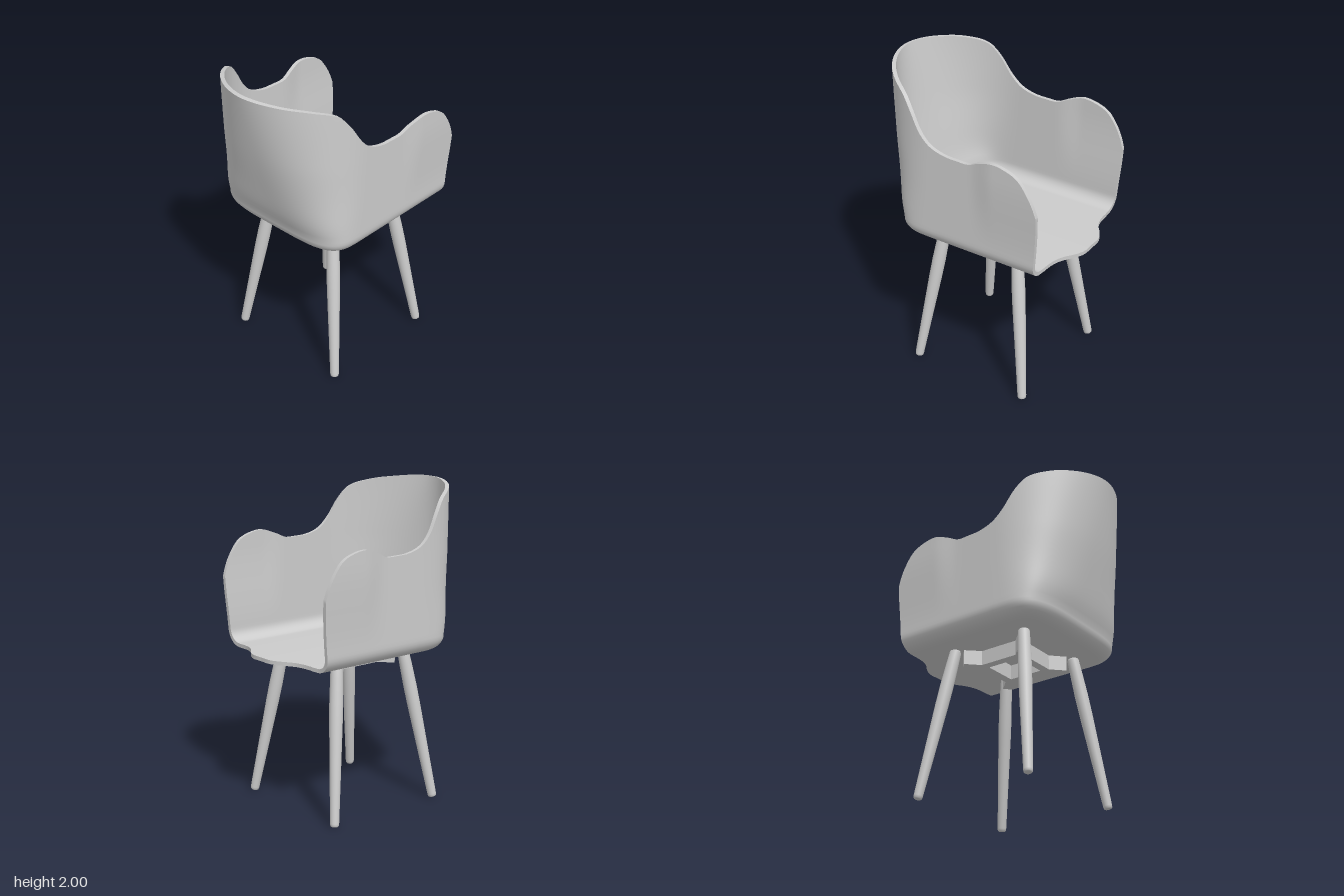
import * as THREE from 'three';

const material = new THREE.MeshStandardMaterial({ color: 0xcccccc, side: THREE.DoubleSide });
const lerp = THREE.MathUtils.lerp, smooth = THREE.MathUtils.smoothstep;

// Smooth interpolation through [x, y] pairs
function curve(pts) {
  const slope = i => {
    const a = pts[Math.max(i - 1, 0)], b = pts[Math.min(i + 1, pts.length - 1)];
    return (b[1] - a[1]) / (b[0] - a[0]);
  };
  return x => {
    if (x <= pts[0][0]) return pts[0][1];
    if (x >= pts[pts.length - 1][0]) return pts[pts.length - 1][1];
    const i = pts.findIndex(p => p[0] > x) - 1, w = pts[i + 1][0] - pts[i][0];
    const t = (x - pts[i][0]) / w, t2 = t * t, t3 = t2 * t;
    return (2 * t3 - 3 * t2 + 1) * pts[i][1] + (t3 - 2 * t2 + t) * w * slope(i)
      + (3 * t2 - 2 * t3) * pts[i + 1][1] + (t3 - t2) * w * slope(i + 1);
  };
}

// Surface through equal-length rows of points
function gridGeometry(rows) {
  const n = rows[0].length, index = [];
  for (let r = 0; r < rows.length - 1; r++) {
    for (let i = 0; i < n - 1; i++) {
      const a = r * n + i, b = a + n;
      index.push(a, b, a + 1, a + 1, b, b + 1);
    }
  }
  const geo = new THREE.BufferGeometry().setFromPoints(rows.flat());
  geo.setIndex(index);
  geo.computeVertexNormals();
  return geo;
}

function add(group, geo, name) {
  const mesh = new THREE.Mesh(geo, material);
  mesh.name = name;
  group.add(mesh);
  return mesh;
}

// Shell measurements: the seat opens toward -z
const BOTTOM = 0.98, FILLET = 0.1, HALF = 0.5, CORNER = 0.15, THICK = 0.024;
const rimHeight = curve([[-0.595, 1.42], [-0.575, 1.48], [-0.54, 1.55], [-0.48, 1.63], [-0.4, 1.67], [-0.3, 1.685],
  [-0.2, 1.655], [-0.13, 1.622], [-0.05, 1.62], [0.05, 1.626], [0.15, 1.66], [0.23, 1.73], [0.3, 1.84],
  [0.37, 1.92], [0.5, 1.965], [0.6, 1.985], [0.67, 2]]);
const backZ = curve([[1.08, 0.465], [1.17, 0.5], [1.3, 0.535], [1.6, 0.605], [2, 0.68]]);
const squareness = curve([[0.98, 4.5], [1.3, 2.9], [1.6, 2.3], [2, 1.85]]);
const wallFront = curve([[0.98, -0.565], [1.3, -0.59], [1.42, -0.595]]);
const lipFront = curve([[0, -0.68], [0.08, -0.68], [0.14, -0.655], [0.22, -0.6], [0.3, -0.575], [0.4, -0.568]]);

// Plan outline at height y: straight sides joined by a superelliptic back
function outline(u, y, inset) {
  const w = HALF - inset;
  if (u.side) {
    const z = lerp(wallFront(y), CORNER, u.t);
    const flare = 0.022 * smooth(-z, 0.13, 0.3) * smooth(y, 1.1, 1.6);
    return new THREE.Vector3(u.side * (w + flare), y, z);
  }
  const c = Math.cos(u.angle), s = Math.sin(u.angle), n = squareness(y);
  const k = Math.pow(Math.abs(c) ** n + s ** n, -1 / n);
  return new THREE.Vector3(w * c * k, y, CORNER + (backZ(y) - inset - CORNER) * s * k);
}

function buildShell() {
  const us = [], SIDE = 36, BACK = 72, FLOOR = 12, ARC = 8, WALL = 24;
  for (let i = 0; i < SIDE; i++) us.push({ side: 1, t: (i / SIDE) ** 1.5 });
  for (let i = 0; i <= BACK; i++) us.push({ side: 0, angle: Math.PI * i / BACK });
  for (let i = SIDE - 1; i >= 0; i--) us.push({ side: -1, t: (i / SIDE) ** 1.5 });

  const rows = [];
  // Floor, from the centre line outward
  for (let j = 0; j < FLOOR; j++) {
    rows.push(us.map(u => {
      const s = j / FLOOR, p = outline(u, BOTTOM, FILLET);
      p.x *= s;
      p.z = u.side ? lerp(lipFront(Math.abs(p.x)), CORNER, u.t) : lerp(CORNER, p.z, s);
      p.y += 0.008 * (1 - s * s);
      return p;
    }));
  }
  // Rounded bottom edge
  for (let j = 0; j < ARC; j++) {
    const a = j / ARC * Math.PI / 2;
    rows.push(us.map(u => outline(u, BOTTOM + FILLET * (1 - Math.cos(a)), FILLET * (1 - Math.sin(a)))));
  }
  // Walls up to the wavy rim
  for (let j = 0; j <= WALL; j++) {
    rows.push(us.map(u => {
      const z = u.side ? lerp(-0.595, CORNER, u.t) : CORNER + 0.52 * Math.sin(u.angle);
      return outline(u, lerp(BOTTOM + FILLET, rimHeight(z), j / WALL), 0);
    }));
  }

  // Inner skin is the outer skin moved inward along its normals
  const outer = gridGeometry(rows), normal = outer.attributes.normal, n = us.length;
  const innerRows = rows.map((row, r) => row.map((p, i) =>
    p.clone().addScaledVector(new THREE.Vector3().fromBufferAttribute(normal, r * n + i), -THICK)));
  const border = g => [...g.map(r => r[0]), ...g[g.length - 1].slice(1, -1), ...g.map(r => r[n - 1]).reverse()];

  const shell = new THREE.Group();
  shell.name = 'seatShell';
  add(shell, outer, 'outerSkin');
  add(shell, gridGeometry(innerRows.map(r => [...r].reverse())), 'innerSkin');
  add(shell, gridGeometry([border(rows), border(innerRows)]), 'rimEdge');
  return shell;
}

// Square ring with four diagonal arms reaching the legs
function buildFrame() {
  const shape = new THREE.Shape();
  const quarter = [[0.17, 0.13], [0.25, 0.21], [0.21, 0.25], [0.13, 0.17]];
  const pts = [];
  for (let k = 0; k < 4; k++) {
    const c = Math.round(Math.cos(k * Math.PI / 2)), s = Math.round(Math.sin(k * Math.PI / 2));
    quarter.forEach(([x, y]) => pts.push(new THREE.Vector2(c * x - s * y, s * x + c * y)));
  }
  shape.setFromPoints(pts);
  const h = 0.115;
  shape.holes.push(new THREE.Path([[-h, -h], [-h, h], [h, h], [h, -h]].map(p => new THREE.Vector2(...p))));
  const geo = new THREE.ExtrudeGeometry(shape, { depth: 0.1, bevelEnabled: false });
  geo.rotateX(-Math.PI / 2).translate(0, 0.89, -0.05);
  return geo;
}

// Turned, splayed leg between two points
function buildLeg(foot, top) {
  const dir = top.clone().sub(foot), len = dir.length();
  const profile = [[0, 0], [0.02, 0], [0.026, 0.006], [0.028, 0.02], [0.034, 0.3], [0.041, 0.62],
    [0.042, 0.75], [0.039, 0.9], [0.036, len - 0.01], [0.03, len], [0, len]];
  const geo = new THREE.LatheGeometry(profile.map(p => new THREE.Vector2(...p)), 24);
  geo.applyQuaternion(new THREE.Quaternion().setFromUnitVectors(new THREE.Vector3(0, 1, 0), dir.normalize()));
  return geo.translate(foot.x, foot.y, foot.z);
}

export function createModel() {
  const model = new THREE.Group();
  model.name = 'armchair';
  model.add(buildShell());
  add(model, buildFrame(), 'underframe');
  for (const [sx, side] of [[1, 'Left'], [-1, 'Right']]) {
    for (const [end, footZ, topZ] of [['open', -0.457, -0.315], ['back', 0.35, 0.212]]) {
      const foot = new THREE.Vector3(sx * 0.415, 0.005, footZ), top = new THREE.Vector3(sx * 0.265, 0.985, topZ);
      add(model, buildLeg(foot, top), `${end}${side}Leg`);
    }
  }
  return model;
}
